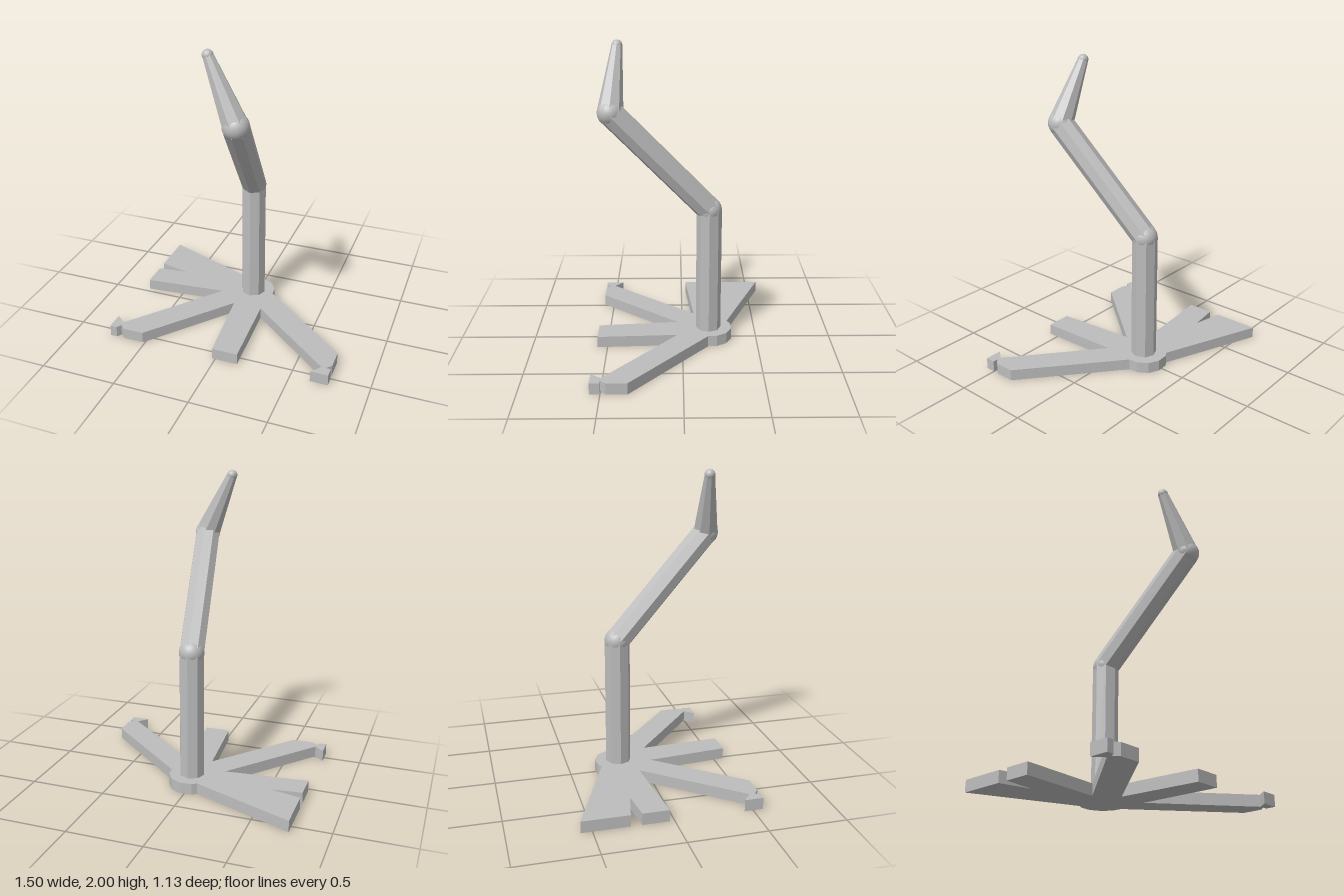
import * as THREE from 'three';

export function createModel() {
  const model = new THREE.Group();
  const grey = new THREE.MeshStandardMaterial({ color: 0xbcbcbc });
  grey.name = 'plain grey';
  const add = (name, geometry) => {
    const mesh = new THREE.Mesh(geometry, grey);
    mesh.name = name;
    model.add(mesh);
    return mesh;
  };

  // Flat splayed foot: outline given as [x, z]
  const outline = [
    [-0.75, -0.57], [-0.08, -0.305], [-0.05, -0.325], [0.03, -0.33], [0.1, -0.295],
    [0.14, -0.23], [0.145, -0.17],
    // left rear leg with its hooked end
    [0.745, 0.335], [0.745, 0.465], [0.712, 0.5], [0.745, 0.5], [0.745, 0.565],
    [0.63, 0.565], [0.683, 0.5], [0.125, 0.035],
    // middle leg
    [0.15, 0.565], [-0.02, 0.565], [-0.07, 0.035],
    // right front leg with its notched end
    [-0.515, 0.565], [-0.65, 0.565], [-0.685, 0.535], [-0.705, 0.565], [-0.75, 0.565],
    [-0.75, 0.445], [-0.685, 0.5], [-0.2, -0.08],
    // forked leg
    [-0.75, -0.03], [-0.75, -0.2], [-0.545, -0.225], [-0.75, -0.27],
  ];
  const shape = new THREE.Shape(outline.map(([x, z]) => new THREE.Vector2(x, -z)));
  add('base', new THREE.ExtrudeGeometry(shape, { depth: 0.075, bevelEnabled: false })
    .rotateX(-Math.PI / 2));

  // Faceted eight-sided limb between two points
  const limb = (name, from, to, r0, r1) => {
    const dir = to.clone().sub(from);
    const geometry = new THREE.CylinderGeometry(r1, r0, dir.length(), 8).toNonIndexed();
    geometry.computeVertexNormals();
    const mesh = add(name, geometry);
    mesh.position.copy(from).add(to).multiplyScalar(0.5);
    mesh.quaternion.setFromUnitVectors(new THREE.Vector3(0, 1, 0), dir.normalize());
  };
  // Smooth ball joint
  const ball = (name, at, r) =>
    add(name, new THREE.SphereGeometry(r, 24, 16)).position.copy(at);

  const foot = new THREE.Vector3(0, 0.04, -0.175);
  const elbow = new THREE.Vector3(0, 0.915, -0.175);
  const wrist = new THREE.Vector3(0.105, 1.575, 0.445);
  const tip = new THREE.Vector3(-0.075, 1.966, 0.405);
  limb('column', foot, elbow, 0.083, 0.083);
  limb('arm', elbow, wrist, 0.083, 0.083);
  limb('taperedTip', wrist, tip, 0.083, 0.034);
  ball('elbowJoint', elbow, 0.082);
  ball('wristJoint', wrist, 0.082);
  ball('tipCap', tip, 0.034);

  return model;
}
